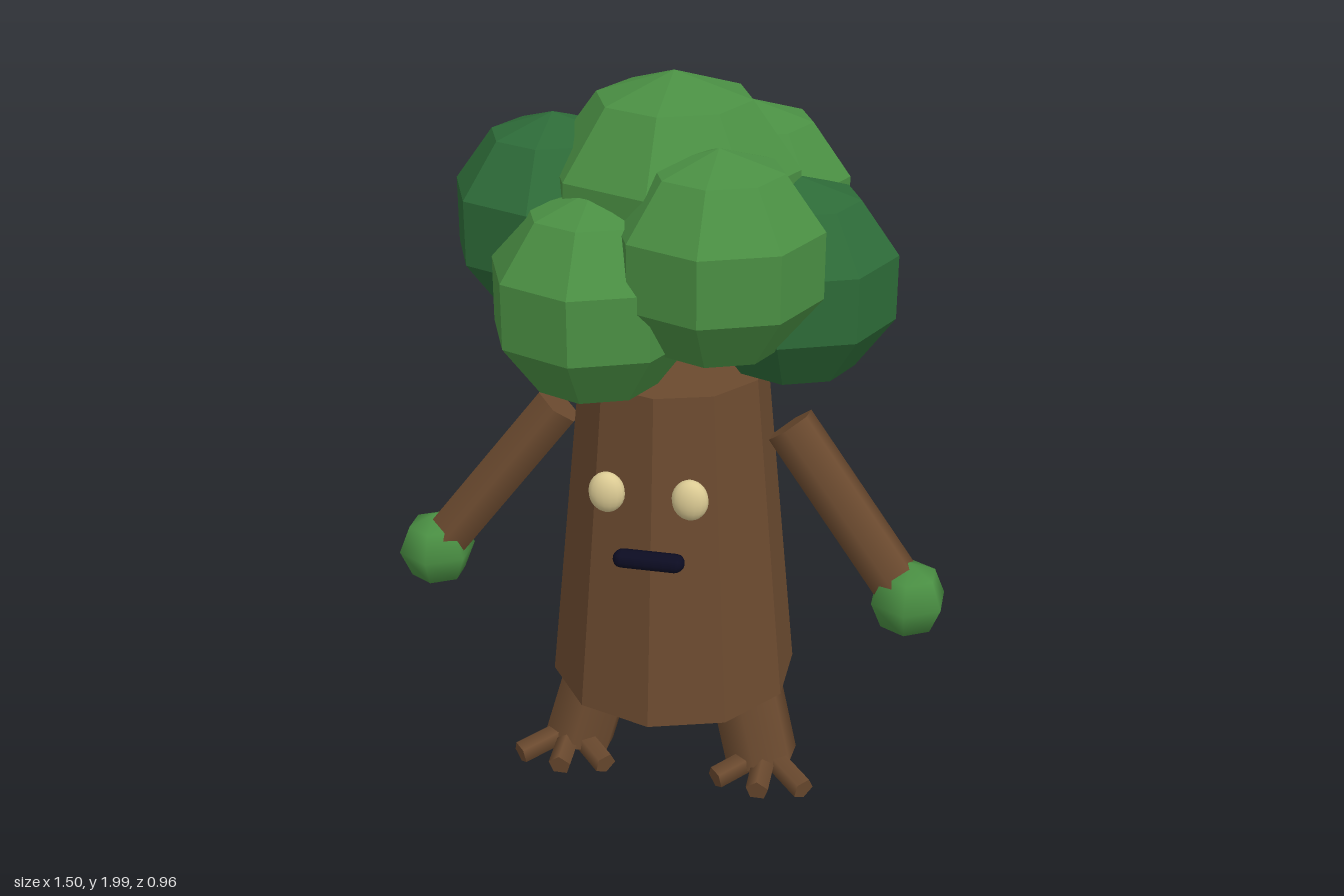
import * as THREE from 'three';

const material = (name, color) => {
  const m = new THREE.MeshStandardMaterial({ color });
  m.name = name;
  return m;
};

// One normal per face, for the faceted parts
const faceted = (geometry) => {
  const g = geometry.toNonIndexed();
  g.computeVertexNormals();
  return g;
};

export function createModel() {
  const model = new THREE.Group();
  model.name = 'walkingTree';

  const bark = material('bark brown', 0x6b4a2f);
  const leaf = material('leaf green', 0x4a8f43);
  const darkLeaf = material('dark leaf green', 0x2d6b38);
  const cream = material('eye cream', 0xdccb94);
  const navy = material('mouth navy', 0x0c0c22);

  const add = (name, geometry, mat, x, y, z) => {
    const mesh = new THREE.Mesh(geometry, mat);
    mesh.name = name;
    mesh.position.set(x, y, z);
    model.add(mesh);
    return mesh;
  };

  // Straight round limb between two points
  const limb = (name, from, to, radius, sides) => {
    const a = new THREE.Vector3(...from);
    const b = new THREE.Vector3(...to);
    const dir = b.clone().sub(a);
    const mid = a.clone().add(b).multiplyScalar(0.5);
    const mesh = add(name, new THREE.CylinderGeometry(radius, radius, dir.length(), sides), bark, mid.x, mid.y, mid.z);
    mesh.quaternion.setFromUnitVectors(new THREE.Vector3(0, -1, 0), dir.normalize());
    return mesh;
  };

  // Tapered ten-sided trunk
  add('trunk', faceted(new THREE.CylinderGeometry(0.25, 0.34, 0.93, 10)), bark, 0, 0.755, 0);

  // Canopy: a crown ball ringed by six smaller balls
  add('crownLeaves', faceted(new THREE.SphereGeometry(0.34, 8, 5)), leaf, 0, 1.66, 0);
  const ball = faceted(new THREE.SphereGeometry(0.276, 8, 5));
  for (const z of [0.22, -0.22]) {
    add('leafBall', ball, leaf, 0.157, 1.6, z);
    add('leafBall', ball, leaf, -0.157, 1.474, z);
  }
  add('darkLeafBall', ball, darkLeaf, 0.314, 1.474, 0);
  add('darkLeafBall', ball, darkLeaf, -0.314, 1.6, 0);

  // Face
  add('mouth', new THREE.CapsuleGeometry(0.024, 0.142, 4, 8).rotateZ(Math.PI / 2).scale(1, 1, 1.25), navy, 0, 0.788, 0.313);
  const eye = new THREE.SphereGeometry(1, 16, 12).scale(0.048, 0.056, 0.032);
  const hand = new THREE.SphereGeometry(0.106, 6, 4).rotateY(Math.PI / 2);

  for (const s of [1, -1]) {
    const side = s > 0 ? 'left' : 'right';
    add(side + 'Eye', eye, cream, s * 0.109, 0.977, 0.313);

    // Arm with a leafy hand
    limb(side + 'Arm', [s * 0.315, 1.07, 0.012], [s * 0.635, 0.658, 0.089], 0.07, 6);
    add(side + 'Hand', hand, leaf, s * 0.656, 0.633, 0.094);

    // Leg running up into the trunk, and three root toes
    limb(side + 'Leg', [s * 0.183, 0.36, 0.002], [s * 0.268, 0.04, 0.058], 0.105, 6);
    for (const [dx, z] of [[-0.125, 0.19], [0, 0.225], [0.125, 0.19]]) {
      limb(side + 'Toe', [s * (0.283 + dx * 0.1), 0.068, 0.08], [s * (0.283 + dx), 0.042, z], 0.033, 5);
    }
  }

  return model;
}
